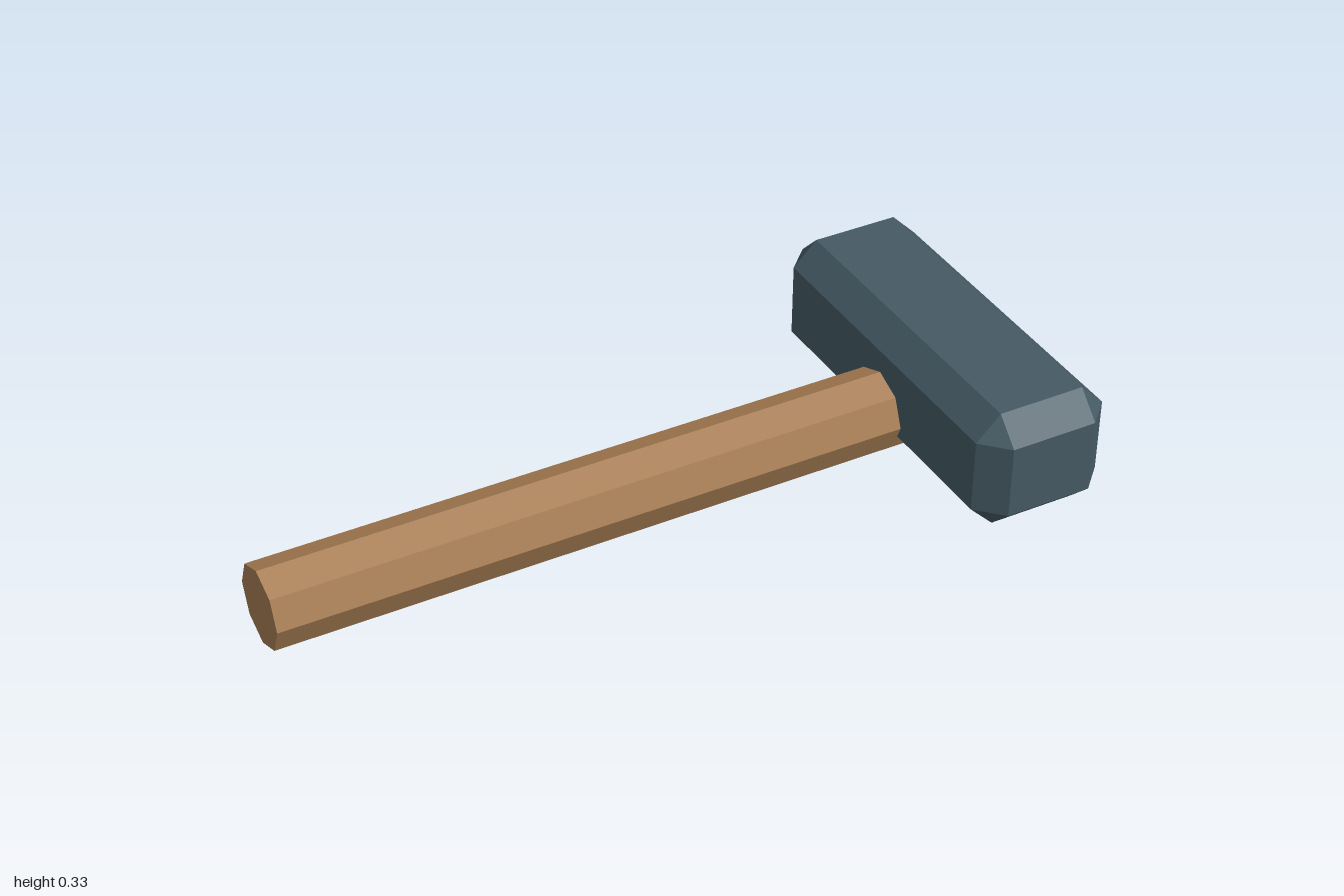
import * as THREE from 'three';
import { ConvexGeometry } from 'three/addons/geometries/ConvexGeometry.js';

// Box with flat chamfered edges and triangular corners
function chamferedBox(w, h, d, c) {
  const points = [];
  for (const sx of [-1, 1]) for (const sy of [-1, 1]) for (const sz of [-1, 1]) {
    const [x, y, z] = [w / 2, h / 2, d / 2];
    points.push(
      new THREE.Vector3(sx * x, sy * (y - c), sz * (z - c)),
      new THREE.Vector3(sx * (x - c), sy * y, sz * (z - c)),
      new THREE.Vector3(sx * (x - c), sy * (y - c), sz * z)
    );
  }
  return new ConvexGeometry(points);
}

export function createModel() {
  const group = new THREE.Group();
  group.name = 'hammer';

  const wood = new THREE.MeshStandardMaterial({ name: 'wood', color: 0xa67c52 });
  const steel = new THREE.MeshStandardMaterial({ name: 'steel', color: 0x455a64 });

  // Octagonal handle lying along x, ending inside the head
  const start = -1, end = 0.76, radius = 0.105;
  const handleGeometry = new THREE.CylinderGeometry(radius, radius, end - start, 8)
    .rotateZ(-Math.PI / 2).toNonIndexed();
  handleGeometry.computeVertexNormals();
  const handle = new THREE.Mesh(handleGeometry, wood);
  handle.name = 'handle';
  handle.position.set((start + end) / 2, radius, 0);
  group.add(handle);

  // Chamfered head lying across the handle
  const head = new THREE.Mesh(chamferedBox(0.357, 0.323, 0.974, 0.064), steel);
  head.name = 'head';
  head.position.set(0.8215, 0.1715, 0);
  group.add(head);

  return group;
}
